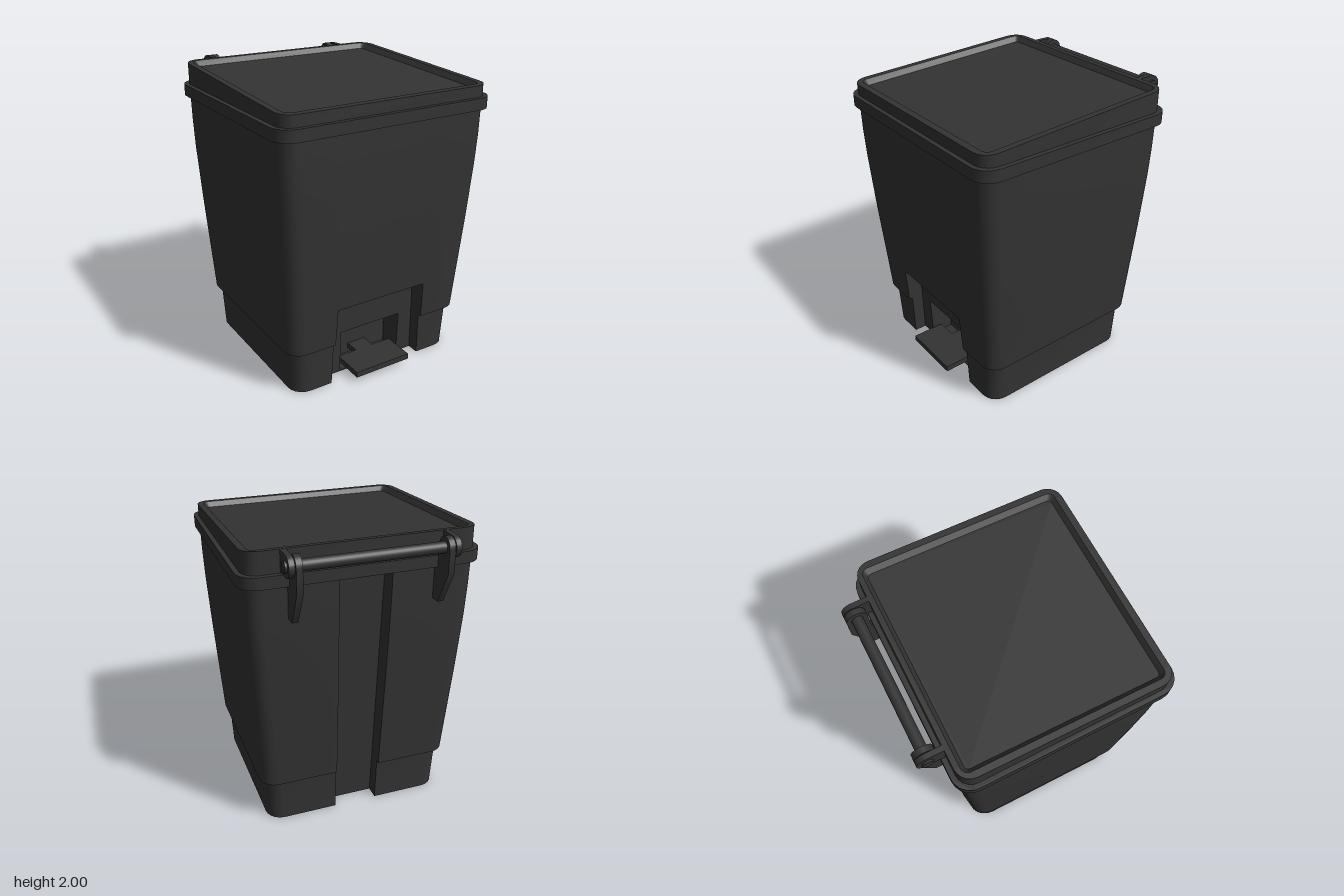
import * as THREE from 'three';
import { toCreasedNormals } from 'three/addons/utils/BufferGeometryUtils.js';

const material = new THREE.MeshStandardMaterial({ color: 0x333333 });

// Rounded rectangle seen from above, starting at the front left corner.
// notch(side) may insert points [x, z] in the front and back edges.
function outline(hw, zf, zb, r, front = [], back = []) {
  const pts = [];
  const corner = (cx, cz, start) => {
    for (let i = 0; i <= 5; i++) {
      const a = start + (i / 5) * Math.PI / 2;
      pts.push([cx + r * Math.cos(a), cz - r * Math.sin(a)]);
    }
  };
  corner(-hw + r, zf - r, Math.PI);
  pts.push(...front);
  corner(hw - r, zf - r, -Math.PI / 2);
  corner(hw - r, zb + r, 0);
  pts.push(...back);
  corner(-hw + r, zb + r, Math.PI / 2);
  return pts;
}

// Skins a stack of outlines; each level is { pts, y } where y is a number or a function of z.
function loft(levels) {
  const rings = levels.map(({ pts, y }) =>
    pts.map(([x, z]) => new THREE.Vector3(x, typeof y === 'function' ? y(z) : y, z)));
  const pos = [];
  const tri = (a, b, c) => {
    const area = b.clone().sub(a).cross(c.clone().sub(a)).length();
    if (area > 1e-8) for (const p of [a, b, c]) pos.push(p.x, p.y, p.z);
  };
  const n = rings[0].length;
  for (let k = 0; k + 1 < rings.length; k++) {
    const a = rings[k], b = rings[k + 1];
    for (let i = 0; i < n; i++) {
      const j = (i + 1) % n;
      tri(a[i], a[j], b[j]);
      tri(a[i], b[j], b[i]);
    }
  }
  const cap = (ring, up) => {
    const flat = ring.map((p) => new THREE.Vector2(p.x, -p.z));
    for (const [a, b, c] of THREE.ShapeUtils.triangulateShape(flat, [])) {
      if (up) tri(ring[a], ring[b], ring[c]);
      else tri(ring[a], ring[c], ring[b]);
    }
  };
  cap(rings[0], false);
  cap(rings[rings.length - 1], true);
  const g = new THREE.BufferGeometry();
  g.setAttribute('position', new THREE.Float32BufferAttribute(pos, 3));
  return toCreasedNormals(g, 0.5);
}

function add(parent, name, geometry, x = 0, y = 0, z = 0) {
  const mesh = new THREE.Mesh(geometry, material);
  mesh.name = name;
  mesh.position.set(x, y, z);
  parent.add(mesh);
  return mesh;
}

// One level of the bin: front recess with an inner pedal pocket, and a groove down the back.
function bodyLevel(y, hw, zf, zb, recessed, pocketed) {
  const rw = 0.36 - 0.026 * Math.min(y, 0.58);
  const rz = recessed ? 0.58 + 0.035 * y : zf;
  const pz = pocketed ? 0.42 : rz;
  const front = [[-rw, zf], [-rw, rz], [-0.24, rz], [-0.24, pz],
    [0.24, pz], [0.24, rz], [rw, rz], [rw, zf]];
  const gw = 0.15 + 0.014 * y, gz = -0.42 - 0.05 * y;
  const back = [[gw, zb], [gw, gz], [-gw, gz], [-gw, zb]];
  return { y, pts: outline(hw, zf, zb, 0.11, front, back) };
}

// Plate cut from a side profile given as a shape in (-z, y), standing across x.
function sidePlate(shape, thickness) {
  const g = new THREE.ExtrudeGeometry(shape, { depth: thickness, bevelEnabled: false, curveSegments: 10 });
  g.translate(0, 0, -thickness / 2);
  g.rotateY(Math.PI / 2);
  return toCreasedNormals(g, 0.5);
}

export function createModel() {
  const model = new THREE.Group();
  model.name = 'pedalBin';

  // Tapered body with stepped base
  add(model, 'body', loft([
    bodyLevel(0, 0.635, 0.665, -0.515, true, false),
    bodyLevel(0.01, 0.635, 0.665, -0.515, true, false),
    bodyLevel(0.01, 0.635, 0.665, -0.515, true, true),
    bodyLevel(0.315, 0.65, 0.677, -0.527, true, true),
    bodyLevel(0.315, 0.65, 0.677, -0.527, true, false),
    bodyLevel(0.315, 0.68, 0.703, -0.553, true, false),
    bodyLevel(0.58, 0.697, 0.72, -0.57, true, false),
    bodyLevel(0.58, 0.697, 0.72, -0.57, false, false),
    bodyLevel(1.0, 0.723, 0.748, -0.598, false, false),
    bodyLevel(1.4, 0.745, 0.77, -0.62, false, false),
    bodyLevel(1.6, 0.752, 0.778, -0.627, false, false),
    bodyLevel(1.78, 0.755, 0.78, -0.63, false, false),
  ]));

  // Band around the top of the body
  const rim = outline(0.787, 0.81, -0.663, 0.125);
  add(model, 'rim', loft([{ pts: rim, y: 1.777 }, { pts: rim, y: 1.855 }]));

  // Sloping lid with a sunken panel
  const top = (z) => 1.93 + (0.78 - z) * 0.0496;
  const lidEdge = outline(0.755, 0.78, -0.63, 0.1);
  add(model, 'lid', loft([
    { pts: lidEdge, y: 1.85 },
    { pts: lidEdge, y: top },
    { pts: outline(0.712, 0.735, -0.595, 0.045), y: top },
    { pts: outline(0.684, 0.71, -0.57, 0.025), y: (z) => top(z) - 0.035 },
  ]));

  // Foot pedal and its lever
  add(model, 'pedal', new THREE.BoxGeometry(0.43, 0.04, 0.23), 0, 0.062, 0.64);
  add(model, 'pedalLever', new THREE.BoxGeometry(0.14, 0.04, 0.16), 0, 0.062, 0.48);

  // Hinge: brackets on the body, arms on the lid, and a rod through both
  const pinY = 1.93, pinZ = -0.738, r = 0.068;
  const bracket = new THREE.Shape();
  bracket.moveTo(0.57, 1.56);
  bracket.lineTo(0.695, 1.56);
  bracket.lineTo(-pinZ + r, 1.775);
  bracket.lineTo(-pinZ + r, pinY);
  bracket.absarc(-pinZ, pinY, r, 0, Math.PI, false);
  bracket.lineTo(0.67, 1.78);
  bracket.lineTo(0.57, 1.78);
  const arm = new THREE.Shape();
  arm.moveTo(0.61, 1.862);
  arm.lineTo(-pinZ, pinY - r);
  arm.absarc(-pinZ, pinY, r, -Math.PI / 2, Math.PI / 2, false);
  arm.lineTo(0.61, pinY + r);
  for (const s of [-1, 1]) {
    add(model, s > 0 ? 'leftHingeBracket' : 'rightHingeBracket', sidePlate(bracket, 0.04), s * 0.475);
    add(model, s > 0 ? 'leftLidArm' : 'rightLidArm', sidePlate(arm, 0.036), s * 0.518);
  }
  const rod = new THREE.CylinderGeometry(0.037, 0.037, 1.1, 24).rotateZ(Math.PI / 2);
  add(model, 'hingeRod', rod, 0, pinY, pinZ);

  return model;
}
